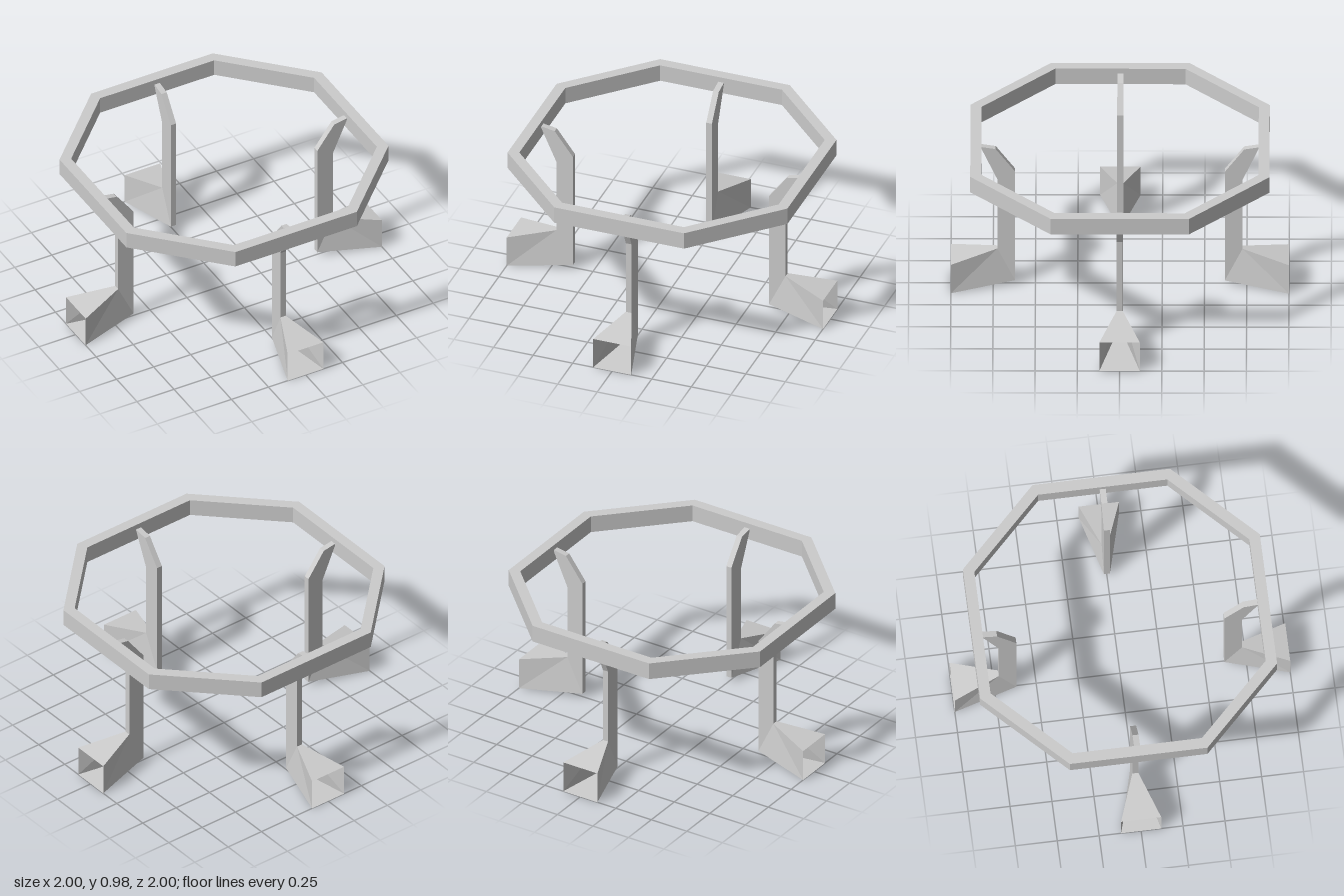
import * as THREE from 'three';

const material = new THREE.MeshStandardMaterial({ color: 0xcccccc, flatShading: true, side: THREE.DoubleSide });

// Octagon with square sides at distance a and cut corners at c
function octagon(Type, a, c) {
  return new Type([[a, -c], [a, c], [c, a], [-c, a], [-a, c], [-a, -c], [-c, -a], [c, -a]]
    .map(([x, y]) => new THREE.Vector2(x, y)));
}

// Flat-shaded surface from convex polygons, corners counter-clockwise from outside
function facets(polygons) {
  const positions = [];
  for (const p of polygons) {
    for (let i = 1; i < p.length - 1; i++) positions.push(...p[0], ...p[i], ...p[i + 1]);
  }
  const geometry = new THREE.BufferGeometry();
  geometry.setAttribute('position', new THREE.Float32BufferAttribute(positions, 3));
  geometry.computeVertexNormals();
  return geometry;
}

// Hollow leg pointing along +x, flaring into a foot that is open at its outer end
function legGeometry() {
  const w = 0.018, f = 0.12;
  // Side profile: distance from centre, height, half width
  const heel = [0.62, 0.033, w], knee = [0.62, 0.785, w], capIn = [0.735, 0.94, w];
  const capOut = [0.825, 0.955, w], bend = [0.725, 0.73, w], ankle = [0.725, 0.252, w];
  const toeTop = [1, 0.2, f], toeBottom = [1, 0.003, f];
  const back = ([x, y, z]) => [x, y, -z];

  const sides = [
    [heel, ankle, bend, knee], [knee, bend, capOut, capIn],
    [heel, toeBottom, ankle], [ankle, toeBottom, toeTop],
  ];
  const polygons = [];
  for (const s of sides) polygons.push(s, s.map(back).reverse());
  // Strips joining the two sides, leaving the toe open
  const rim = [toeBottom, heel, knee, capIn, capOut, bend, ankle, toeTop];
  for (let i = 0; i < rim.length - 1; i++) {
    const a = rim[i], b = rim[i + 1];
    polygons.push([a, b, back(b), back(a)]);
  }
  return facets(polygons);
}

export function createModel() {
  const model = new THREE.Group();
  model.name = 'octagonalStand';

  // Top ring
  const outline = octagon(THREE.Shape, 0.885, 0.41);
  outline.holes.push(octagon(THREE.Path, 0.82, 0.385));
  const ringGeometry = new THREE.ExtrudeGeometry(outline, { depth: 0.107, bevelEnabled: false });
  ringGeometry.rotateX(-Math.PI / 2);
  const ring = new THREE.Mesh(ringGeometry, material);
  ring.name = 'ring';
  ring.position.y = 0.88;
  model.add(ring);

  // Four legs, one per side
  const geometry = legGeometry();
  ['leftLeg', 'backLeg', 'rightLeg', 'frontLeg'].forEach((name, i) => {
    const leg = new THREE.Mesh(geometry, material);
    leg.name = name;
    leg.rotation.y = i * Math.PI / 2;
    model.add(leg);
  });
  return model;
}
